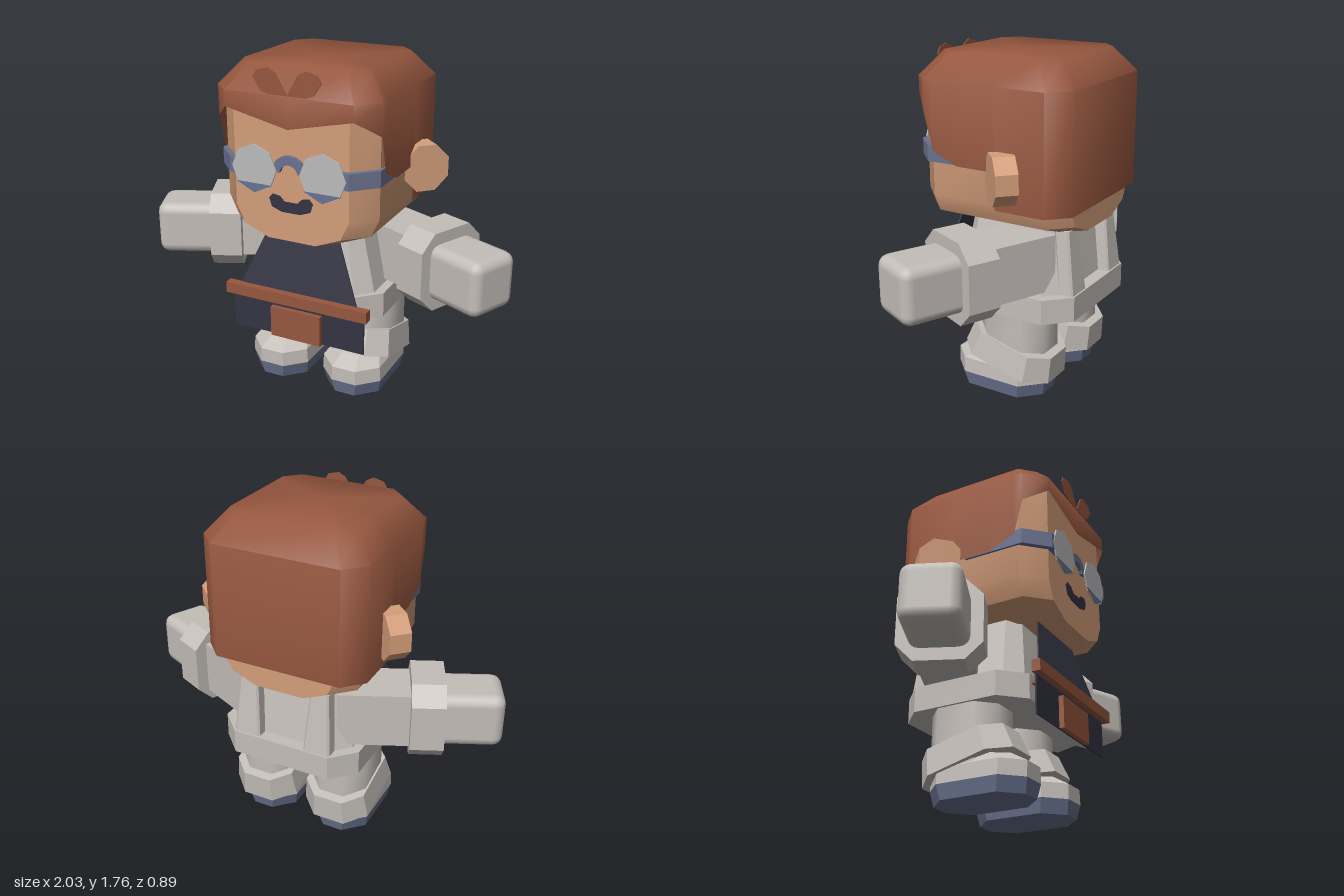
import * as THREE from 'three';
import { toCreasedNormals } from 'three/addons/utils/BufferGeometryUtils.js';
import { RoundedBoxGeometry } from 'three/addons/geometries/RoundedBoxGeometry.js';

const mat = (name, color, side = THREE.FrontSide) => {
  const m = new THREE.MeshStandardMaterial({ color, side });
  m.name = name;
  return m;
};

// Skin a stack of rings (each an array of [x, y, z]) from bottom to top
function loft(rings, crease = 0.3, capBottom = true) {
  const pos = [];
  const tri = (...pts) => pts.forEach((p) => pos.push(...p));
  const n = rings[0].length;
  const middle = (r) => [0, 1, 2].map((k) => r.reduce((s, p) => s + p[k], 0) / n);
  const first = rings[0], last = rings[rings.length - 1];
  for (let j = 0; j < n; j++) {
    const k = (j + 1) % n;
    for (let i = 0; i + 1 < rings.length; i++) {
      const lo = rings[i], hi = rings[i + 1];
      tri(lo[j], hi[j], lo[k]);
      tri(lo[k], hi[j], hi[k]);
    }
    if (capBottom) tri(middle(first), first[j], first[k]);
    tri(middle(last), last[k], last[j]);
  }
  const g = new THREE.BufferGeometry();
  g.setAttribute('position', new THREE.Float32BufferAttribute(pos, 3));
  return toCreasedNormals(g, crease);
}

// Rectangle ring with cut corners: height, half width, half depth, corner cut, z offset
function ring(y, hx, hz, c, cz = 0) {
  return [[hx, -hz + c], [hx, hz - c], [hx - c, hz], [-hx + c, hz],
    [-hx, hz - c], [-hx, -hz + c], [-hx + c, -hz], [hx - c, -hz]].map(([x, z]) => [x, y, z + cz]);
}

// Flat outline given thickness along z
function plate(points, depth = 0.008) {
  const shape = new THREE.Shape(points.map(([x, y]) => new THREE.Vector2(x, y)));
  return new THREE.ExtrudeGeometry(shape, { depth, bevelEnabled: false });
}

// Complete a right half outline with its reflection
const mirrored = (half) => [...half, ...half.slice().reverse().map(([x, y]) => [-x, y])];

export function createModel() {
  const model = new THREE.Group();
  const hairBrown = mat('brown', 0x96573f, THREE.DoubleSide);
  const skin = mat('skin', 0xd49e7a);
  const cloth = mat('pale grey cloth', 0xc4beb9);
  const navy = mat('dark navy', 0x343443);
  const slate = mat('slate blue', 0x69728f);
  const glass = mat('lens grey', 0xbcbbbb);

  const add = (name, geo, material, parent = model, x = 0, y = 0, z = 0) => {
    const m = new THREE.Mesh(geo, material);
    m.name = name;
    m.position.set(x, y, z);
    parent.add(m);
    return m;
  };

  // Head
  add('head', loft([ring(0.9, 0.22, 0.415, 0.09), ring(0.955, 0.375, 0.415, 0.11),
    ring(1.05, 0.42, 0.415, 0.11), ring(1.62, 0.42, 0.415, 0.11)], 0.65), skin);

  // Hair shell: half outline [x, z, hairline height] from front to back
  const half = [[0.34, 0.44, 1.55], [0.44, 0.34, 1.47], [0.44, 0.29, 1.28], [0.44, 0.15, 1.22],
    [0.44, -0.064, 1.22], [0.44, -0.066, 1.03], [0.44, -0.34, 1.03], [0.34, -0.44, 1.03]];
  const outline = [[0, 0.44, 1.475], ...half.map(([x, z, y]) => [-x, z, y]),
    ...half.slice().reverse()];
  add('hair', loft([outline.map(([x, z, y]) => [x, y, z]),
    outline.map(([x, z]) => [x, 1.63, z]),
    outline.map(([x, z]) => [x * 0.76, 1.755, z * 0.76])], 0.95, false), hairBrown);

  // Face details
  add('mouth', plate(mirrored([[0.035, 1.105], [0.06, 1.13], [0.1, 1.137], [0.12, 1.115],
    [0.105, 1.07], [0.05, 1.05]]), 0.006), navy, model, 0, 0, 0.413);
  const bridge = new THREE.Shape();
  bridge.absarc(0, 1.25, 0.095, 0.15, Math.PI - 0.15, false);
  bridge.absarc(0, 1.25, 0.05, Math.PI - 0.15, 0.15, true);
  add('glassesBridge', new THREE.ExtrudeGeometry(bridge,
    { depth: 0.02, bevelEnabled: false, curveSegments: 4 }), slate, model, 0, 0, 0.417);

  // Octagonal lens outline, split by a tinted lower edge
  const oct = [];
  for (let i = 0; i < 8; i++) {
    const a = Math.PI / 2 + i * Math.PI / 4;
    oct.push([Math.cos(a) * 0.123, Math.sin(a) * 0.123]);
  }
  const tint = [[-0.1, -0.075], [0, -0.123], [0.1, -0.075]];

  for (const s of [1, -1]) {
    const side = s > 0 ? 'left' : 'right';

    add(side + 'Lens', plate(oct), glass, model, s * 0.185, 1.262, 0.438);
    add(side + 'LensTint', plate(tint, 0.004), slate, model, s * 0.185, 1.262, 0.445);

    // Glasses strap wraps round the side of the head
    const strap = [[0.2, 0.443], [0.32, 0.443], [0.432, 0.33], [0.432, 0],
      [0.41, 0], [0.41, 0.3], [0.3, 0.41], [0.2, 0.41]].map(([x, z]) => [s * x, -z]);
    add(side + 'GlassesStrap', plate(strap, 0.083).rotateX(-Math.PI / 2), slate, model, 0, 1.222, 0);

    // Forelock leaves
    add(side + 'Forelock', plate([[0, 1.635], [0.06, 1.74], [0.1, 1.76], [0.16, 1.745],
      [0.18, 1.71], [0.14, 1.65], [0.1, 1.635]].map(([x, y]) => [s * x, y]), 0.006),
    hairBrown, model, 0, 0, 0.436);

    // Ear: octagonal disc turned forward
    const earGeo = new THREE.CylinderGeometry(0.13, 0.13, 0.11, 8).rotateY(Math.PI / 8).rotateX(Math.PI / 2);
    const ear = add(side + 'Ear', toCreasedNormals(earGeo, 0.3), skin, model, s * 0.465, 1.205, -0.125);
    ear.rotation.y = s * Math.PI / 4;

    // Arm, swung slightly forward
    const arm = new THREE.Group();
    arm.name = side + 'Arm';
    arm.position.set(s * 0.62, 0.7525, 0.004);
    arm.rotation.y = -s * 0.425;
    model.add(arm);
    add('upperArm', new THREE.BoxGeometry(0.45, 0.29, 0.28), cloth, arm, -s * 0.225);
    add('sleeveCuff', loft([ring(-0.085, 0.2075, 0.205, 0.085), ring(0.085, 0.2075, 0.205, 0.085)])
      .rotateZ(-Math.PI / 2), cloth, arm);
    add('hand', new RoundedBoxGeometry(0.385, 0.29, 0.29, 2, 0.055), cloth, arm, s * 0.1925);

    // Leg, boot cuff and shoe
    const leg = new THREE.Group();
    leg.name = side + 'Leg';
    leg.position.x = s * 0.217;
    model.add(leg);
    add('trouserLeg', loft([ring(0.12, 0.16, 0.19, 0.09, -0.07), ring(0.5, 0.16, 0.19, 0.09, -0.07)], 0.9), cloth, leg);
    const cuff = add('bootCuff', loft([ring(-0.07, 0.188, 0.26, 0.1), ring(0.07, 0.17, 0.235, 0.09)]),
      cloth, leg, 0, 0.225, -0.06);
    cuff.rotation.x = -0.255;
    add('shoe', loft([ring(0.075, 0.17, 0.265, 0.1, 0.005), ring(0.155, 0.165, 0.265, 0.1, 0.005),
      ring(0.225, 0.12, 0.19, 0.08, -0.04)]), cloth, leg);
    add('sole', loft([ring(0, 0.155, 0.25, 0.1, 0.005), ring(0.075, 0.17, 0.265, 0.1, 0.005)]), slate, leg);

    // Raised folds down the back of the coat
    add(side + 'BackFold', loft([ring(0.58, 0.075, 0.04, 0.01, -0.372),
      ring(0.915, 0.05, 0.04, 0.01, -0.33)]), cloth, model, s * 0.2);
  }

  // Coat body and hem
  add('coat', loft([ring(0.56, 0.35, 0.305, 0.08, -0.05), ring(0.92, 0.26, 0.255, 0.06, -0.05)]), cloth);
  add('coatHem', loft([ring(0.46, 0.39, 0.35, 0.12, -0.07), ring(0.59, 0.39, 0.35, 0.12, -0.07)]), cloth);

  // Apron with belt and pocket
  const bib = add('apronBib', plate(mirrored([[0.19, 0.02], [0.34, -0.34]])), navy, model, 0, 0.9, 0.285);
  bib.rotation.x = -0.23;
  add('apronSkirt', plate(mirrored([[0.375, 0.56], [0.375, 0.335]])), navy, model, 0, 0, 0.362);
  add('belt', new THREE.BoxGeometry(0.805, 0.06, 0.045), hairBrown, model, 0, 0.562, 0.383);
  add('beltTie', new THREE.BoxGeometry(0.5, 0.015, 0.045), hairBrown, model, 0, 0.552, 0.302);
  add('pocket', new THREE.BoxGeometry(0.285, 0.165, 0.028), hairBrown, model, 0, 0.418, 0.382);

  return model;
}
